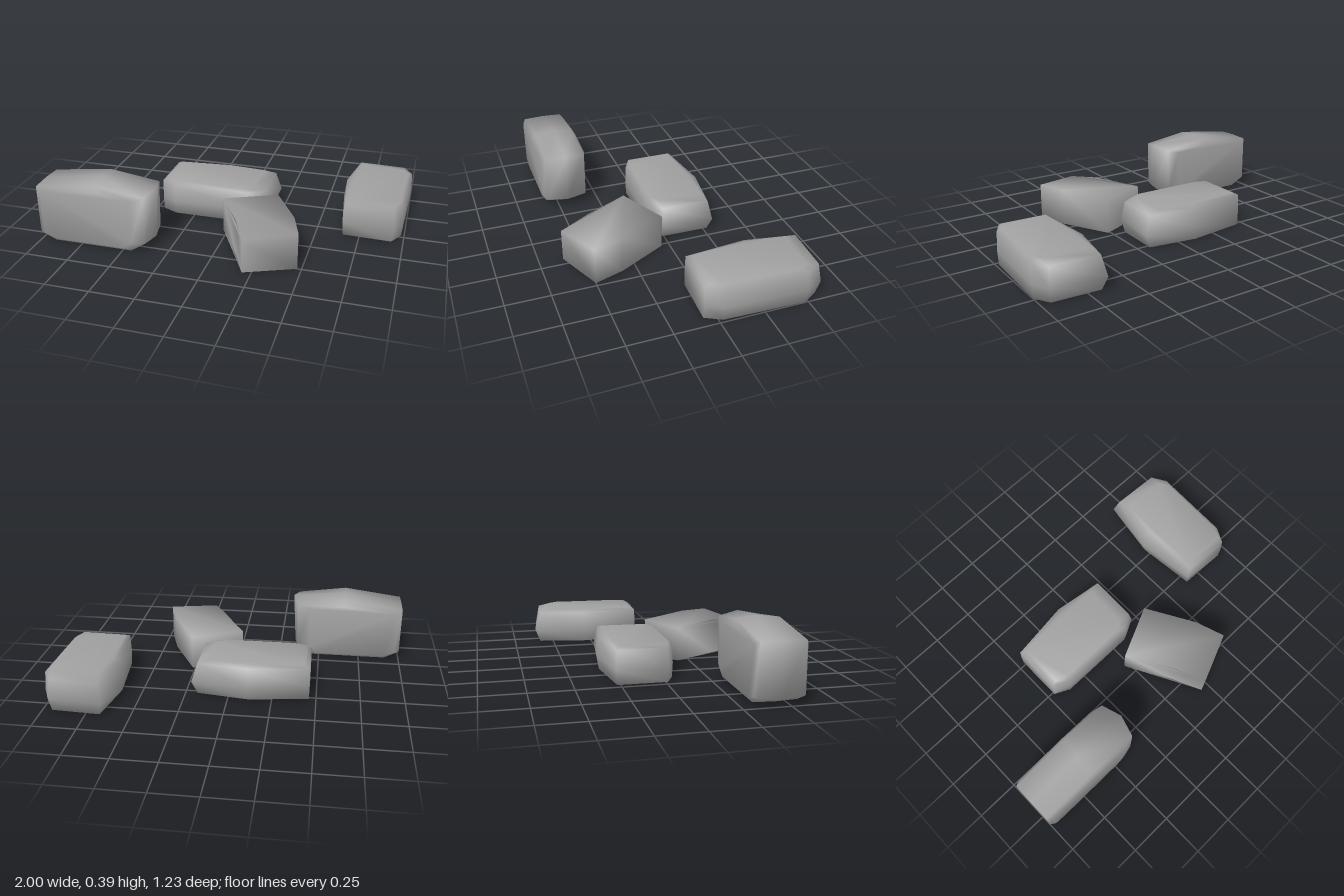
import * as THREE from 'three';

// Smooth closed skin over rings of [u, v, w] points (clockwise seen from +w, ordered by rising w).
function loft(rings) {
  const n = rings[0].length;
  const last = (rings.length - 1) * n;
  const index = [];
  for (let r = 0; r < last; r += n) {
    for (let i = 0; i < n; i++) {
      const a = r + i, b = r + (i + 1) % n;
      index.push(a, b + n, b, a, a + n, b + n);
    }
  }
  // Each end is closed by a fan from its first corner
  for (let i = 1; i < n - 1; i++) {
    index.push(0, i, i + 1, last, last + i + 1, last + i);
  }
  const g = new THREE.BufferGeometry();
  g.setAttribute('position', new THREE.Float32BufferAttribute(rings.flat(2), 3));
  g.setIndex(index);
  return g;
}

// Soft normals: every face counts equally, whatever its size
function soften(g) {
  const p = g.attributes.position, index = g.index.array;
  const sums = Array.from({ length: p.count }, () => new THREE.Vector3());
  const tri = new THREE.Triangle(), normal = new THREE.Vector3();
  for (let i = 0; i < index.length; i += 3) {
    tri.setFromAttributeAndIndices(p, index[i], index[i + 1], index[i + 2]);
    tri.getNormal(normal);
    for (let k = 0; k < 3; k++) sums[index[i + k]].add(normal);
  }
  const normals = sums.flatMap((s) => s.normalize().toArray());
  g.setAttribute('normal', new THREE.Float32BufferAttribute(normals, 3));
  return g;
}

// Outlines of the long stone: at its middle, near its shoulder and on its broad face
const MIDDLE = [[0, 0.335], [0.35, 0.388], [0.673, 0.355], [0.655, 0.05], [0.56, 0], [0.09, 0], [0, 0.04]];
const SHOULDER = [[0, 0.33], [0.35, 0.375], [0.64, 0.335], [0.635, 0.06], [0.55, 0.005], [0.09, 0.005], [0, 0.05]];
const FACE = [[0.03, 0.31], [0.35, 0.34], [0.57, 0.32], [0.56, 0.06], [0.51, 0.025], [0.1, 0.025], [0.03, 0.05]];

const UPPER_HALF = [[MIDDLE, 0], [SHOULDER, 0.12], [FACE, 0.138]];
const WHOLE = [[FACE, -0.138], [SHOULDER, -0.12], ...UPPER_HALF];
const CUT_FLAT = [[SHOULDER, -0.087], ...UPPER_HALF];

function longStone(layers, thickness) {
  return loft(layers.map(([outline, w]) => outline.map(([u, v]) => [u, v, w * thickness])));
}

export function createModel() {
  const group = new THREE.Group();
  const material = new THREE.MeshStandardMaterial({ color: 0xa0a0a0 });
  const add = (name, g) => {
    const mesh = new THREE.Mesh(soften(g), material);
    mesh.name = name;
    group.add(mesh);
  };

  // Long stone standing on its edge
  add('uprightStone', longStone(WHOLE, 1).translate(-1, 0, 0.447));

  // The same stone lying on a flat base, twice
  add('backStone', longStone(CUT_FLAT, 0.92).rotateX(-Math.PI / 2).translate(-0.46, 0.08, 0.062));
  add('sideStone', longStone(CUT_FLAT, 0.92).rotateX(-Math.PI / 2)
    .rotateY(THREE.MathUtils.degToRad(88)).translate(0.984, 0.08, 0.068));

  // Short blocky stone: x, z and top height of each corner
  const corners = [[-0.03, 0.18, 0.2], [0.265, 0.045, 0.2], [0.42, 0.33, 0.215],
    [0.477, 0.5, 0.213], [0.2, 0.615, 0.19], [0.12, 0.44, 0.213]];
  add('shortStone', loft([
    corners.map(([x, z]) => [x, -z, 0]),
    corners.map(([x, z, h]) => [x, -z, h]),
  ]).rotateX(-Math.PI / 2));

  return group;
}
